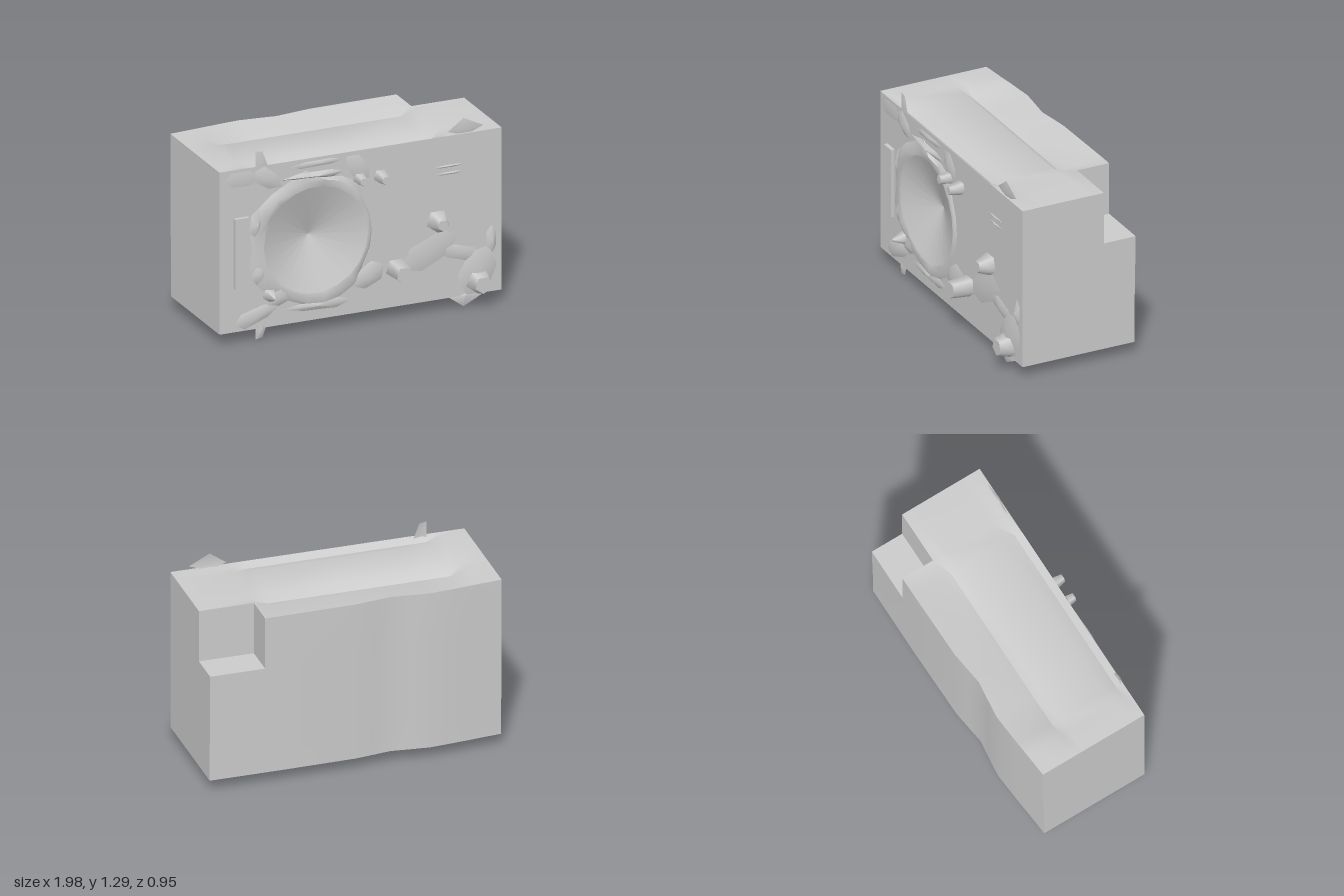
import * as THREE from 'three';
import { toCreasedNormals } from 'three/addons/utils/BufferGeometryUtils.js';

const metal = new THREE.MeshStandardMaterial({ color: 0xcccccc, side: THREE.DoubleSide });
metal.name = 'light grey';
const TOP = 1.19, BASE = 0.08, FRONT = 0.335, END = 0.99;
const FAN = { x: -0.32, y: 0.63, r: 0.37 };

let seed = 7;
const rnd = () => (seed = (seed * 16807) % 2147483647) / 2147483647;

function indexed(pos, idx, crease) {
  const g = new THREE.BufferGeometry();
  g.setAttribute('position', new THREE.Float32BufferAttribute(pos, 3));
  g.setIndex(idx);
  return toCreasedNormals(g, crease);
}

// Section of the casing as [z, y], from the front top edge round the back to the front bottom edge
function section(back, groove, notch) {
  const dips = [[FRONT, 0], [0.29, 0.035], [0.2, 0.008], [-0.13, 0.008], [-0.19, 0.05], [-0.25, notch ? 0 : 0.035]];
  const top = dips.map(([z, d]) => [z, TOP - d * groove]);
  const bottom = dips.map(([z, d]) => [z, BASE + d * groove]).reverse();
  const rear = notch ? [[-0.25, 0.83], [back, 0.83]] : [[back, TOP], [back, 0.83]];
  return [...top, ...rear, [back + 0.01, 0.25], [back + 0.01, BASE], ...bottom];
}

// Casing lofted along x, with a soft upright valley in the back and a notch in the rear top corner
function casing() {
  const stations = [
    [-END, -0.43, 0], [-0.82, -0.445, 0], [-0.72, -0.455, 1], [-0.5, -0.472, 1], [-0.37, -0.458, 1],
    [-0.24, -0.442, 1], [-0.12, -0.458, 1], [0, -0.473, 1], [0.5, -0.48, 1],
    [0.62, -0.48, 0], [0.62, -0.48, 0, true], [END, -0.48, 0, true],
  ];
  const rings = stations.map(([, back, groove, notch]) => section(back, groove, notch));
  const n = rings[0].length, last = rings.length - 1, pos = [], idx = [];
  rings.forEach((r, i) => r.forEach(([z, y]) => pos.push(stations[i][0], y, z)));
  for (let i = 0; i < last; i++) {
    for (let j = 0; j < n - 1; j++) {
      const a = i * n + j, b = a + 1, d = a + n, c = d + 1;
      idx.push(a, d, c, a, c, b);
    }
  }
  // End walls
  [0, last].forEach((i) => {
    const pts = rings[i].map(([z, y]) => new THREE.Vector2(z, y));
    const o = i * n;
    THREE.ShapeUtils.triangulateShape(pts, []).forEach(([a, b, c]) => {
      if (i === 0) idx.push(o + a, o + b, o + c);
      else idx.push(o + a, o + c, o + b);
    });
  });
  return indexed(pos, idx, 0.8);
}

// Flat front with the round fan opening
function frontPanel() {
  const s = new THREE.Shape();
  s.moveTo(-END, BASE).lineTo(END, BASE).lineTo(END, TOP).lineTo(-END, TOP);
  const hole = new THREE.Path();
  hole.absarc(FAN.x, FAN.y, FAN.r, 0, Math.PI * 2, true);
  s.holes.push(hole);
  return new THREE.ShapeGeometry(s, 12).translate(0, 0, FRONT);
}

// Shallow cone sunk into the opening
function fanDish() {
  const pts = [new THREE.Vector2(0.001, -0.11), new THREE.Vector2(FAN.r, 0.015)];
  return new THREE.LatheGeometry(pts, 20).rotateX(Math.PI / 2).translate(FAN.x, FAN.y, FRONT);
}

// Crumpled frame round the fan, narrow on its right side
function crumpledRing() {
  const n = 22, pos = [], idx = [];
  for (let i = 0; i < n; i++) {
    const a = (i / n) * Math.PI * 2;
    const wide = Math.cos(a) > 0.75 ? 0.15 : 1;
    const rings = [[0.365, 0.015], [0.385 + 0.04 * rnd() * wide, 0.01 + 0.03 * rnd() * wide],
      [0.39 + (0.03 + 0.07 * rnd()) * wide, 0.001]];
    rings.forEach(([r, z]) => pos.push(FAN.x + Math.cos(a) * r, FAN.y + Math.sin(a) * r, FRONT + z));
    for (let k = 0; k < 2; k++) {
      const p = i * 3 + k, q = ((i + 1) % n) * 3 + k;
      idx.push(p, p + 1, q + 1, p, q + 1, q);
    }
  }
  return indexed(pos, idx, 1);
}

// Faceted plate: a counter-clockwise outline rising to one peak
function shard(outline, peak, z) {
  const n = outline.length, pos = [...peak], idx = [];
  outline.forEach(([x, y], i) => {
    pos.push(x, y, z);
    idx.push(0, i + 1, ((i + 1) % n) + 1);
  });
  return indexed(pos, idx, 1);
}

// Irregular six-cornered shard: centre, half length, half width, tilt and height
function crumple([x, y, w, h, tilt, rise]) {
  const outline = [];
  for (let i = 0; i < 6; i++) {
    const a = (i / 6) * Math.PI * 2, k = 0.75 + 0.35 * rnd();
    const u = Math.cos(a) * w * k, v = Math.sin(a) * h * k;
    outline.push([x + u * Math.cos(tilt) - v * Math.sin(tilt), y + u * Math.sin(tilt) + v * Math.cos(tilt)]);
  }
  return shard(outline, [x, y, FRONT + rise], FRONT + 0.002);
}

export function createModel() {
  const model = new THREE.Group();
  model.name = 'outdoorUnit';
  const add = (name, geometry) => {
    const m = new THREE.Mesh(geometry, metal);
    m.name = name;
    model.add(m);
  };

  add('casing', casing());
  add('frontPanel', frontPanel());
  add('fanDish', fanDish());
  add('fanFrame', crumpledRing());
  add('sidePlate', new THREE.BoxGeometry(0.1, 0.48, 0.03).translate(-0.84, 0.62, FRONT + 0.01));

  // Pointed tabs past the bottom edge, mirrored past the top edge
  const leftTab = [[-0.73, 0], [-0.68, 0.01], [-0.64, 0.12], [-0.73, 0.16]];
  const rightTab = [[0.62, 0.08], [0.73, 0], [0.87, 0.07], [0.74, 0.12]];
  [[leftTab, -0.69], [rightTab, 0.73]].forEach(([outline, x]) => {
    add('bottomTab', shard(outline, [x, 0.08, 0.345], 0.318));
    const flipped = outline.map(([u, v]) => [u, 1.29 - v]).reverse();
    add('topTab', shard(flipped, [x, 1.21, 0.33], 0.318));
  });

  // Crumpled trim round the fan
  [
    [-0.84, 1.12, 0.13, 0.06, 0, 0.01], [-0.66, 1.1, 0.12, 0.07, -0.6, 0.025],
    [-0.31, 1.07, 0.23, 0.03, 0, 0.03], [-0.3, 1.15, 0.23, 0.025, 0, 0.015],
    [-0.02, 1.08, 0.12, 0.08, -0.8, 0.025], [-0.73, 0.8, 0.1, 0.05, 1.4, 0.035],
    [-0.71, 0.46, 0.11, 0.07, 1.3, 0.035], [-0.74, 0.17, 0.18, 0.06, 0.3, 0.025],
    [-0.57, 0.28, 0.11, 0.08, 0.6, 0.035], [-0.3, 0.18, 0.24, 0.04, 0, 0.025],
    [0.05, 0.32, 0.14, 0.09, 0.5, 0.035],
  ].forEach((c) => add('fanTrim', crumple(c)));

  // Crumpled trim in the lower right corner, and two thin slits above it
  [
    [0.5, 0.42, 0.25, 0.11, 0.4, 0.02], [0.7, 0.38, 0.16, 0.06, -0.4, 0.02],
    [0.83, 0.24, 0.17, 0.13, 1.1, 0.04], [0.92, 0.44, 0.11, 0.04, 1.6, 0.03],
    [0.61, 0.985, 0.11, 0.01, 0, 0.01], [0.62, 0.937, 0.11, 0.01, 0, 0.01],
  ].forEach((c) => add('cornerTrim', crumple(c)));

  // Stubs standing out of the front: x, y, base radius, tip radius, tip z
  [
    [0.14, 0.99, 0.05, 0.03, 0.43], [0.54, 0.62, 0.08, 0.04, 0.43], [0.25, 0.34, 0.075, 0.06, 0.475],
    [0.82, 0.17, 0.09, 0.06, 0.435], [-0.01, 1.0, 0.045, 0.03, 0.42], [-0.64, 0.3, 0.05, 0.01, 0.43],
  ].forEach(([x, y, r0, r1, z]) => {
    const h = z - FRONT;
    add('stub', new THREE.CylinderGeometry(r1, r0, h, 5).rotateX(Math.PI / 2).translate(x, y, FRONT + h / 2));
  });
  return model;
}
